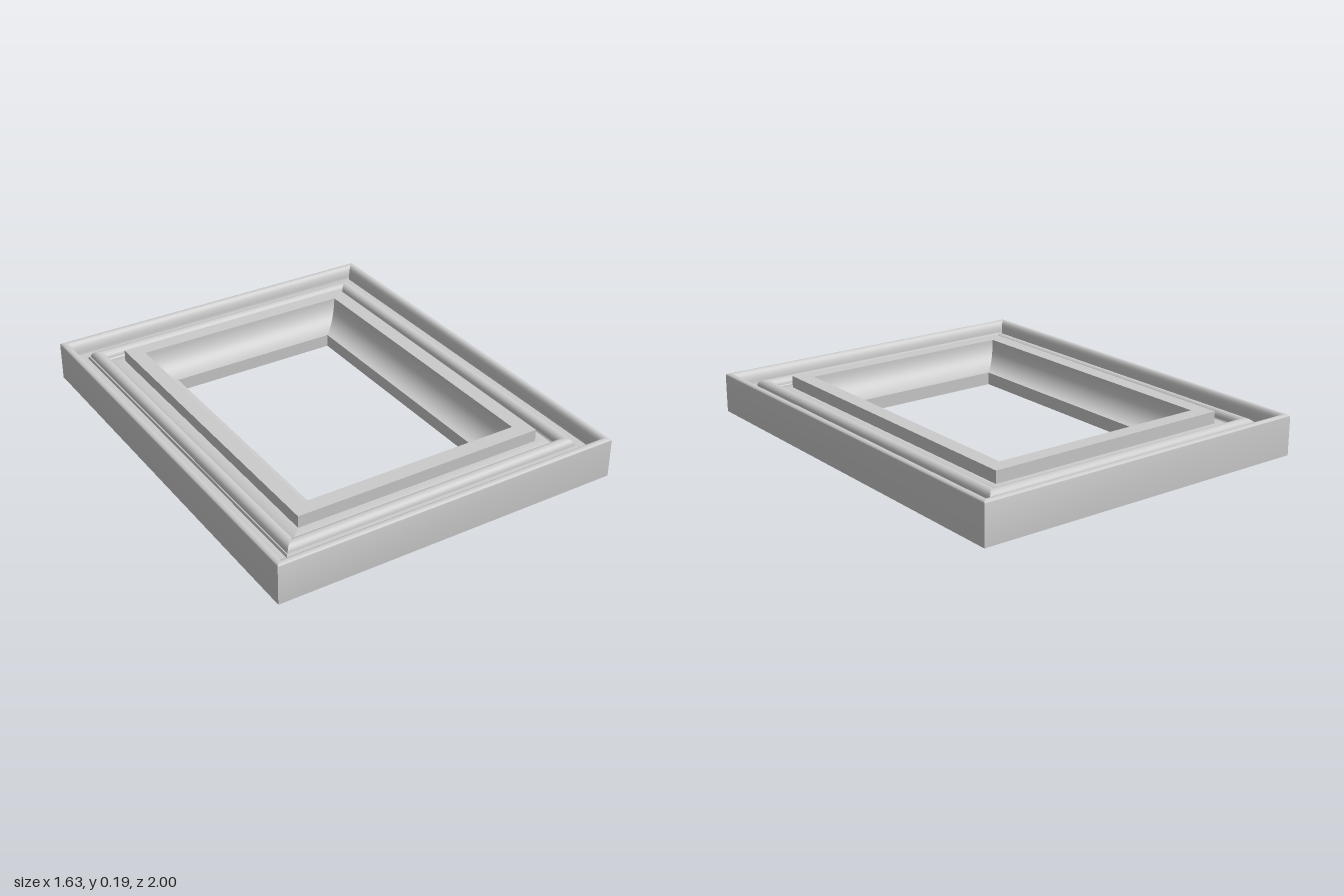
import * as THREE from 'three';
import { toCreasedNormals } from 'three/addons/utils/BufferGeometryUtils.js';

const HALF_W = 0.815, HALF_D = 1;

// Quarter-ellipse points round (cx, cy), from angle a0 to a1 in degrees
function arc(cx, cy, rx, ry, a0, a1, n) {
  return Array.from({ length: n + 1 }, (_, i) => {
    const a = THREE.MathUtils.degToRad(a0 + ((a1 - a0) * i) / n);
    return [cx + rx * Math.cos(a), cy + ry * Math.sin(a)];
  });
}

// Moulding section: [inset from the outer edge, height], closed along the bottom
const profile = [
  [0, 0],
  ...arc(0.018, 0.176, 0.018, 0.009, 180, 90, 5),    // outer lip
  ...arc(0.018, 0.125, 0.03, 0.06, 90, 0, 8).slice(1),
  [0.05, 0.12], [0.095, 0.12],                       // channel
  [0.1, 0.13],
  ...arc(0.135, 0.13, 0.03, 0.03, 180, 0, 10),       // middle bead
  [0.17, 0.125], [0.18, 0.13], [0.225, 0.13],        // ledge
  [0.225, 0.185], [0.295, 0.185],                    // crown
  ...arc(0.405, 0.185, 0.108, 0.125, 180, 270, 10),  // inner cove
  [0.405, 0],
];

const corners = [[1, 1], [1, -1], [-1, -1], [-1, 1]];

// One mitred rail between two neighbouring corners
function rail(a, b, material) {
  const at = (c, [d, h]) => [c[0] * (HALF_W - d), h, c[1] * (HALF_D - d)];
  const pos = [];
  profile.forEach((p, i) => {
    const q = profile[(i + 1) % profile.length];
    const A = at(a, p), B = at(b, p), C = at(b, q), D = at(a, q);
    pos.push(...A, ...B, ...C, ...A, ...C, ...D);
  });
  const geo = new THREE.BufferGeometry();
  geo.setAttribute('position', new THREE.Float32BufferAttribute(pos, 3));
  return new THREE.Mesh(toCreasedNormals(geo, 0.6), material);
}

export function createModel() {
  const group = new THREE.Group();
  group.name = 'pictureFrame';
  const material = new THREE.MeshStandardMaterial({ color: 0xcccccc });
  ['leftRail', 'backRail', 'rightRail', 'frontRail'].forEach((name, i) => {
    const mesh = rail(corners[i], corners[(i + 1) % 4], material);
    mesh.name = name;
    group.add(mesh);
  });
  return group;
}
